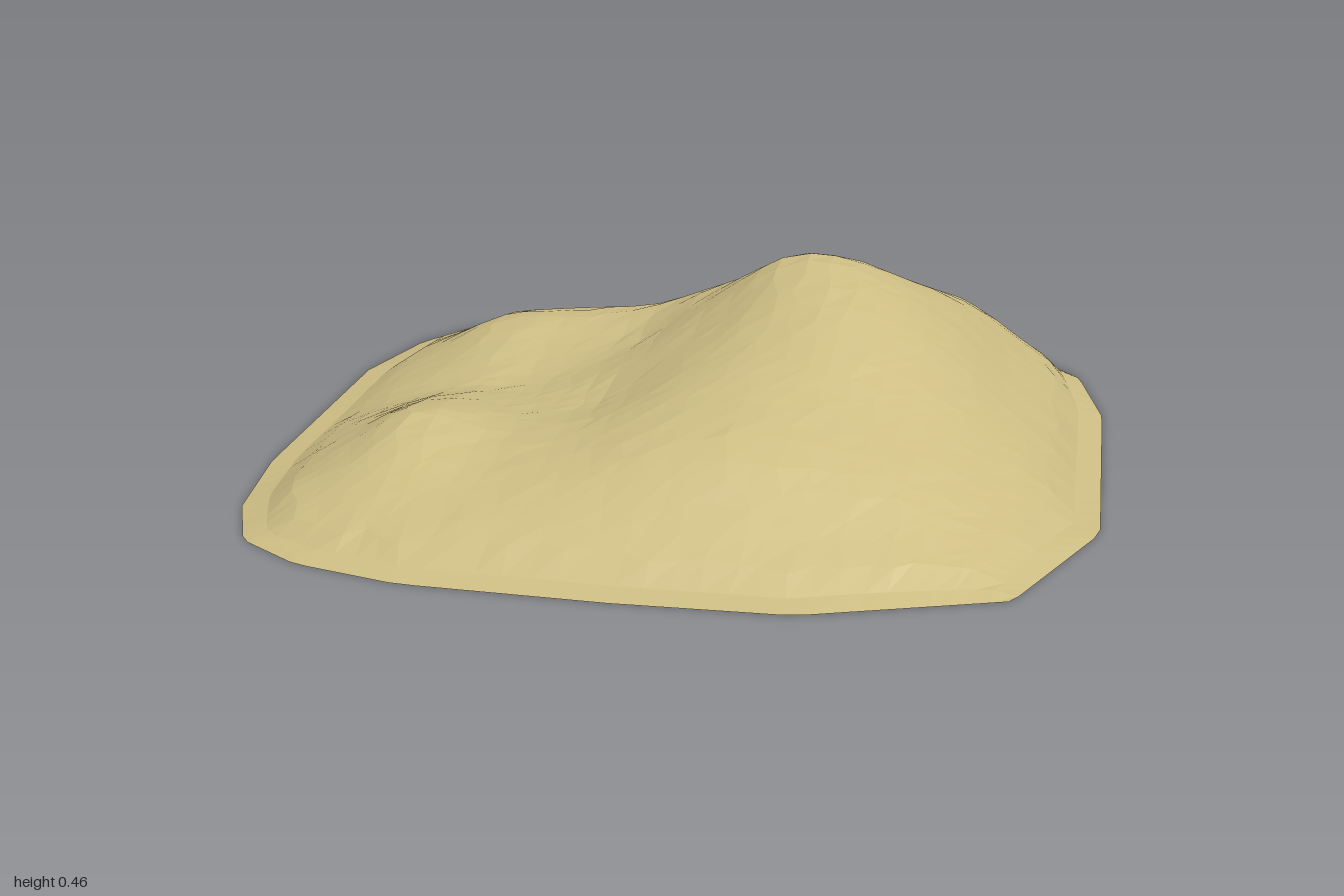
import * as THREE from 'three';

// Ground outline, clockwise seen from above (x, z)
const outline = [
  [-0.58, -0.98], [-0.15, -1], [0.43, -1], [0.75, -0.93], [0.91, -0.73], [0.98, -0.42],
  [1, 0.4], [0.83, 0.82], [0.39, 0.98], [0, 0.99], [-0.47, 0.975], [-0.72, 0.91],
  [-0.88, 0.8], [-0.96, 0.6], [-1, 0.3], [-1, -0.44], [-0.93, -0.72], [-0.83, -0.87],
];

// Cross-section heights: rows z = -0.8..0.8, columns x = -0.8..0.8, step 0.2
const sections = [
  [0.03, 0.06, 0.075, 0.08, 0.085, 0.09, 0.105, 0.105, 0.05],
  [0.07, 0.135, 0.16, 0.165, 0.185, 0.2, 0.225, 0.24, 0.11],
  [0.09, 0.185, 0.21, 0.24, 0.31, 0.345, 0.355, 0.295, 0.13],
  [0.08, 0.15, 0.165, 0.205, 0.33, 0.45, 0.43, 0.315, 0.14],
  [0.07, 0.12, 0.135, 0.2, 0.3, 0.405, 0.415, 0.31, 0.14],
  [0.085, 0.16, 0.15, 0.17, 0.27, 0.34, 0.35, 0.275, 0.13],
  [0.09, 0.19, 0.165, 0.18, 0.24, 0.275, 0.265, 0.21, 0.10],
  [0.075, 0.14, 0.135, 0.16, 0.2, 0.215, 0.19, 0.14, 0.06],
  [0.03, 0.06, 0.08, 0.095, 0.1, 0.095, 0.075, 0.05, 0.02],
];

// Smooth curve through evenly spaced samples, zero beyond the ends
function spline(sample, t) {
  const i = Math.floor(t), f = t - i;
  const [a, b, c, d] = [sample(i - 1), sample(i), sample(i + 1), sample(i + 2)];
  return b + 0.5 * f * (c - a + f * (2 * a - 5 * b + 4 * c - d + f * (3 * (b - c) + d - a)));
}

function heightAt(x, z) {
  const row = (r) => spline((c) => sections[r]?.[c] ?? 0, (x + 0.8) / 0.2);
  return Math.max(0, spline(row, (z + 0.8) / 0.2));
}

// Factor that takes the direction (u, v) out to the outline
function reach(u, v) {
  for (let i = 0; i < outline.length; i++) {
    const [ax, az] = outline[i];
    const [bx, bz] = outline[(i + 1) % outline.length];
    const ex = bx - ax, ez = bz - az;
    const det = u * ez - v * ex;
    if (Math.abs(det) < 1e-9) continue;
    const k = (ax * ez - az * ex) / det;
    const s = (ax * v - az * u) / det;
    if (k > 0 && s >= -1e-6 && s <= 1 + 1e-6) return k;
  }
  return 1;
}

function seeded(seed) {
  return () => {
    seed = (seed * 16807) % 2147483647;
    return seed / 2147483647 - 0.5;
  };
}

export function createModel() {
  const sand = new THREE.MeshStandardMaterial({ color: 0xcdbd84, flatShading: true, side: THREE.DoubleSide });
  sand.name = 'sand';

  // Square grid pulled to the outline and raised into hills
  const geometry = new THREE.PlaneGeometry(2, 2, 32, 32);
  geometry.rotateX(-Math.PI / 2);
  const p = geometry.attributes.position;
  const rand = seeded(77);
  for (let i = 0; i < p.count; i++) {
    const u = p.getX(i), v = p.getZ(i);
    const m = Math.max(Math.abs(u), Math.abs(v));
    const k = m < 1e-6 ? 1 : 1 + (reach(u / m, v / m) - 1) * m * m;
    const loose = m < 0.9 ? 0.03 : 0;
    const x = u * k + rand() * loose;
    const z = v * k + rand() * loose;
    // Soft foot where the slope meets the ground
    const foot = THREE.MathUtils.smoothstep(1 - m, -0.01, 0.14);
    const y = m > 0.999 ? 0 : heightAt(x, z) * foot + rand() * loose * 0.1;
    p.setXYZ(i, x, Math.max(0, y), z);
  }
  geometry.computeVertexNormals();

  const hill = new THREE.Mesh(geometry, sand);
  hill.name = 'hillTerrain';
  const group = new THREE.Group();
  group.name = 'sandHill';
  group.add(hill);
  return group;
}
